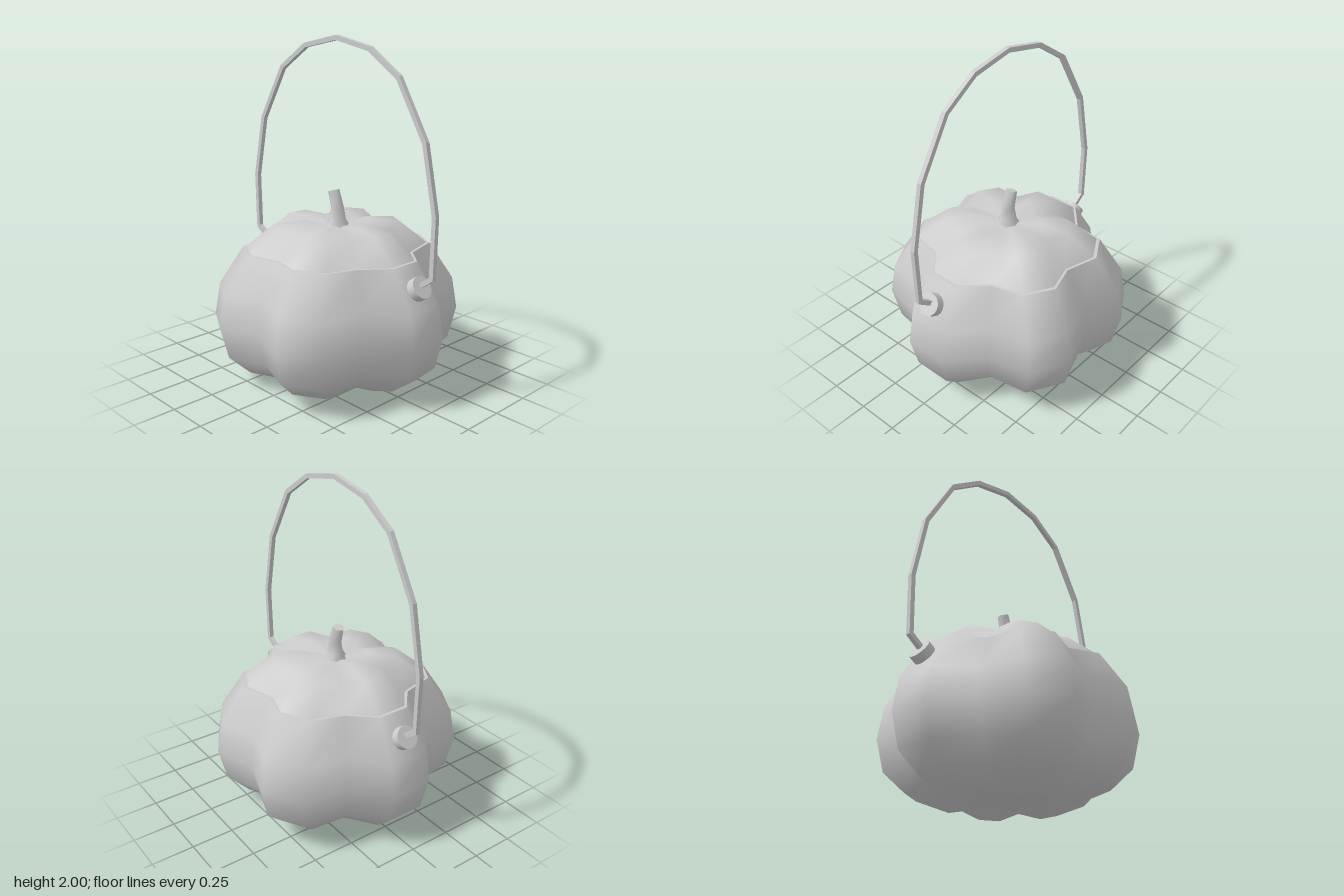
import * as THREE from 'three';
import { mergeVertices, toCreasedNormals } from 'three/addons/utils/BufferGeometryUtils.js';

const material = new THREE.MeshStandardMaterial({ color: 0xcccccc, side: THREE.DoubleSide });

// Skin over a stack of closed rings; each ring is a list of [x, y, z]
function loft(rings) {
  const n = rings[0].length, index = [];
  for (let j = 0; j < rings.length - 1; j++) {
    for (let i = 0; i < n; i++) {
      const a = j * n + i, b = j * n + (i + 1) % n;
      index.push(a, a + n, b, b, a + n, b + n);
    }
  }
  const geometry = new THREE.BufferGeometry();
  geometry.setAttribute('position', new THREE.Float32BufferAttribute(rings.flat(2), 3));
  geometry.setIndex(index);
  const merged = mergeVertices(geometry, 1e-4);
  merged.computeVertexNormals();
  return merged;
}

// Six-lobed ring of 18 points: every third point is a valley, shifted by dip
function lobedRing([r, y, dip = 0]) {
  return Array.from({ length: 18 }, (_, i) => {
    const a = THREE.MathUtils.degToRad(10 + 20 * i);
    const valley = i % 3 === 1;
    const k = valley ? r * 0.825 : r;
    return [k * Math.cos(a), y + (valley ? dip : 0), k * Math.sin(a)];
  });
}

function add(group, name, geometry) {
  const mesh = new THREE.Mesh(geometry, material);
  mesh.name = name;
  group.add(mesh);
  return mesh;
}

export function createModel() {
  const group = new THREE.Group();
  group.name = 'pumpkinBasket';

  // Body: radius, height, valley shift
  add(group, 'body', loft([
    [0, 0.055], [0.17, 0.025, 0.02], [0.345, 0.003, 0.027], [0.55, 0.085, 0.02],
    [0.675, 0.2, 0.01], [0.722, 0.39], [0.69, 0.58], [0.546, 0.8, -0.012],
  ].map(lobedRing)));

  // Rim ledge around the opening
  add(group, 'rim', toCreasedNormals(loft([
    [0.546, 0.8, -0.012], [0.527, 0.8, -0.012], [0.515, 0.74, -0.012],
  ].map(lobedRing)), 0.5));

  // Lid
  add(group, 'lid', loft([
    [0.522, 0.785, -0.012], [0.527, 0.802, -0.012], [0.365, 0.93, -0.025],
    [0.19, 0.95, -0.025], [0, 0.91],
  ].map(lobedRing)));

  // Five-sided bent stem: radius, height, sideways shift, tilt
  const stemRings = [
    [0.085, 0.9, 0, 0], [0.052, 0.95, 0, 0], [0.04, 1.02, 0, 0.1],
    [0.034, 1.12, -0.03, 0.3], [0, 1.12, -0.03, 0],
  ].map(([r, y, shift, tilt]) => Array.from({ length: 5 }, (_, i) => {
    const a = Math.PI / 2 + i * Math.PI * 0.4;
    const x = r * Math.cos(a);
    return [x + shift, y + tilt * x, r * Math.sin(a)];
  }));
  add(group, 'stem', toCreasedNormals(loft(stemRings), 1.3));

  // Handle: square bar swept along a polyline with mitred corners
  const half = [[0.625, 0.695], [0.725, 0.768], [0.733, 1.105], [0.655, 1.48], [0.465, 1.8], [0.255, 1.937]];
  const path = [...half, [0, 1.987], ...half.map(([x, y]) => [-x, y]).reverse()]
    .map(([x, y]) => new THREE.Vector2(x, y));
  const w = 0.0135;
  const bars = path.map((p, i) => {
    const before = p.clone().sub(path[Math.max(i - 1, 0)]).normalize();
    const after = path[Math.min(i + 1, path.length - 1)].clone().sub(p).normalize();
    const t = before.clone().add(after).normalize();
    const along = i === 0 ? after : before;
    const m = w / t.dot(along);
    const nx = t.y * m, ny = -t.x * m;
    return [[1, 1], [1, -1], [-1, -1], [-1, 1]]
      .map(([s, d]) => [p.x + s * nx, p.y + s * ny, d * w]);
  });
  add(group, 'handle', toCreasedNormals(loft(bars), 0.1));

  // Round knobs where the handle meets the body
  for (const side of [1, -1]) {
    const knob = add(group, side > 0 ? 'leftKnob' : 'rightKnob',
      new THREE.CylinderGeometry(0.065, 0.065, 0.055, 16));
    knob.position.set(side * 0.636, 0.69, 0);
    knob.rotation.z = -side * 0.985;
  }
  return group;
}
